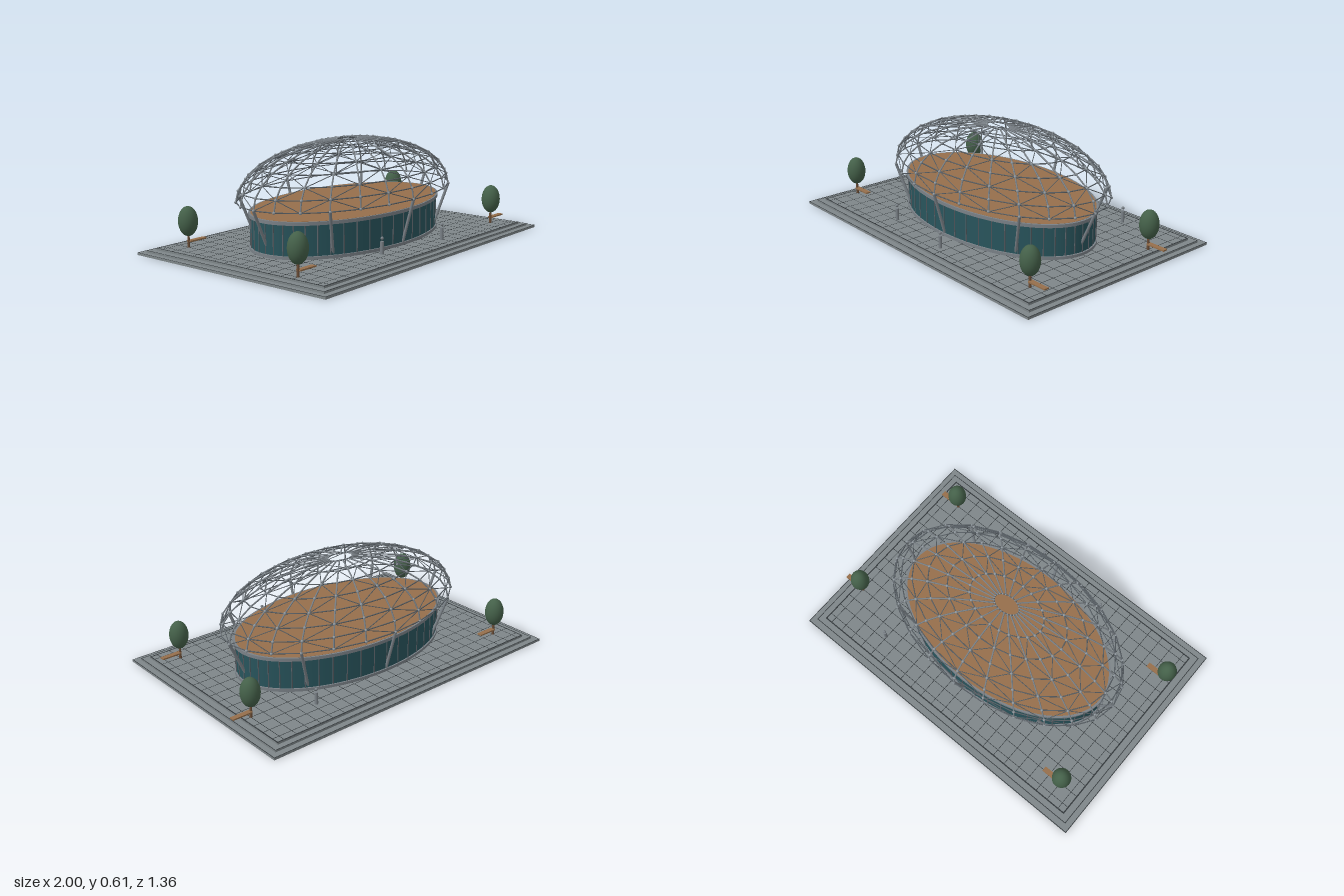
import * as THREE from 'three';
import { mergeGeometries } from 'three/addons/utils/BufferGeometryUtils.js';

const mat = (name, color) => new THREE.MeshStandardMaterial({ name, color });

export function createModel() {
  const group = new THREE.Group();
  group.name = 'domedPavilion';
  const stone = mat('stone', 0x7e8689);
  const joint = mat('pavingJoint', 0x33383b);
  const steel = mat('steel', 0x596066);
  const metal = mat('lightMetal', 0x7a8187);
  const bright = mat('nodeMetal', 0x8d959b);
  const glass = mat('tealGlass', 0x28545c);
  const wood = mat('wood', 0x966f4b);
  const bark = mat('bark', 0x6b4d36);
  const leaf = mat('foliage', 0x446049);

  const add = (name, geometry, material, x = 0, y = 0, z = 0, parent = group) => {
    const mesh = new THREE.Mesh(geometry, material);
    mesh.name = name;
    mesh.position.set(x, y, z);
    parent.add(mesh);
    return mesh;
  };
  const box = (w, h, d, x = 0, y = 0, z = 0) => new THREE.BoxGeometry(w, h, d).translate(x, y, z);

  // Straight round member between two points
  const up = new THREE.Vector3(0, 1, 0);
  const rod = (a, b, r, sides = 6, open = true) => {
    const dir = b.clone().sub(a);
    const g = new THREE.CylinderGeometry(r, r, dir.length(), sides, 1, open);
    g.applyQuaternion(new THREE.Quaternion().setFromUnitVectors(up, dir.normalize()));
    const mid = a.clone().add(b).multiplyScalar(0.5);
    return g.translate(mid.x, mid.y, mid.z);
  };
  // Solid elliptical drum between two heights
  const drum = (rx, rz, y0, y1) => new THREE.CylinderGeometry(1, 1, y1 - y0, 96)
    .scale(rx, 1, rz).translate(0, (y0 + y1) / 2, 0);
  // Thin rectangular border lying on a step
  const border = (w, d, t, y) => mergeGeometries([-1, 1].flatMap((s) => [
    box(w, 0.001, t, 0, y, s * (d - t) / 2),
    box(t, 0.001, d - 2 * t, s * (w - t) / 2, y, 0),
  ]));

  // Stepped plaza with dark edge lines
  add('lowerStep', box(2, 0.013, 1.355, 0, 0.0065), stone);
  add('middleStep', box(1.93, 0.012, 1.28, 0, 0.018), stone);
  add('plazaTop', box(1.85, 0.012, 1.21, 0, 0.029), stone);
  add('lowerEdge', border(2, 1.355, 0.004, 0.0131), joint);
  add('middleEdge', border(1.93, 1.28, 0.004, 0.0241), joint);
  add('plazaEdge', border(1.85, 1.21, 0.007, 0.0351), joint);

  // Paving joints on a square grid
  const joints = [];
  for (let i = -11; i <= 11; i++) joints.push(box(0.003, 0.001, 1.2, i * 0.08, 0.0352, 0));
  for (let i = -7; i <= 7; i++) joints.push(box(1.84, 0.001, 0.003, 0, 0.0352, i * 0.08));
  add('pavingJoints', mergeGeometries(joints), joint);

  // Oval hall: plinth, glass wall, fascia and timber roof
  add('hallPlinth', drum(0.7, 0.408, 0.035, 0.052), metal);
  add('glassWall', drum(0.69, 0.4, 0.052, 0.22), glass);
  add('roofFascia', drum(0.703, 0.41, 0.22, 0.239), metal);
  add('timberRoof', drum(0.69, 0.4, 0.239, 0.2398), wood);

  // Window mullions
  const mullions = [];
  for (let i = 0; i < 48; i++) {
    const a = (i / 48) * Math.PI * 2;
    mullions.push(box(0.005, 0.17, 0.005, 0.691 * Math.sin(a), 0.136, 0.401 * Math.cos(a)));
  }
  add('mullions', mergeGeometries(mullions), steel);

  // Lattice dome: rings every 12 degrees, 24 ribs, one diagonal per cell
  const N = 24, RINGS = 8;
  const node = (k, i) => {
    const p = THREE.MathUtils.degToRad(k * 12), a = (i / N) * Math.PI * 2;
    return new THREE.Vector3(
      0.778 * Math.cos(p) * Math.sin(a), 0.3 + 0.302 * Math.sin(p), 0.468 * Math.cos(p) * Math.cos(a));
  };
  const ribs = [], rings = [], braces = [], nodes = [];
  for (let k = 0; k < RINGS; k++) {
    for (let i = 0; i < N; i++) {
      const p = node(k, i);
      rings.push(rod(p, node(k, i + 1), 0.0033));
      nodes.push(new THREE.SphereGeometry(k === RINGS - 1 ? 0.005 : 0.0085, 8, 6).translate(p.x, p.y, p.z));
      if (k === RINGS - 1) continue;
      ribs.push(rod(p, node(k + 1, i), 0.0045));
      if (k < RINGS - 2) {
        const s = (i + k) % 2;
        braces.push(rod(node(k, i + s), node(k + 1, i + 1 - s), 0.0024));
      }
    }
  }
  const dome = new THREE.Group();
  dome.name = 'latticeDome';
  group.add(dome);
  add('domeRibs', mergeGeometries(ribs), metal, 0, 0, 0, dome);
  add('domeRings', mergeGeometries(rings), steel, 0, 0, 0, dome);
  add('domeBraces', mergeGeometries(braces), steel, 0, 0, 0, dome);
  add('domeNodes', mergeGeometries(nodes), bright, 0, 0, 0, dome);

  // Eight leaning columns
  for (let i = 0; i < N; i += 3) {
    const top = node(0, i);
    const foot = new THREE.Vector3(top.x * 0.84, 0.035, top.z * 0.84);
    add('leaningColumn', rod(foot, top, 0.0085, 10, false), metal);
  }

  // Trees, each with a bench beside it
  for (const [x, z] of [[-0.8, -0.48], [0.878, -0.32], [-0.88, 0.4], [0.798, 0.48]]) {
    const tree = new THREE.Group();
    tree.name = 'treeWithBench';
    tree.position.set(x, 0, z);
    group.add(tree);
    add('trunk', new THREE.CylinderGeometry(0.006, 0.008, 0.09, 8), bark, 0, 0.08, 0, tree);
    add('crown', new THREE.SphereGeometry(1, 24, 16).scale(0.055, 0.084, 0.055), leaf, 0, 0.184, 0, tree);
    add('benchSeat', box(0.12, 0.008, 0.03), wood, 0.061, 0.07, 0, tree);
  }

  // Standing figures
  for (const [x, z] of [[-0.32, 0.495], [0.158, 0.553], [0.558, -0.462]]) {
    add('figureBody', new THREE.CylinderGeometry(0.01, 0.01, 0.07, 12), metal, x, 0.092, z);
    add('figureHead', new THREE.SphereGeometry(0.009, 12, 8), metal, x, 0.144, z);
  }
  return group;
}
